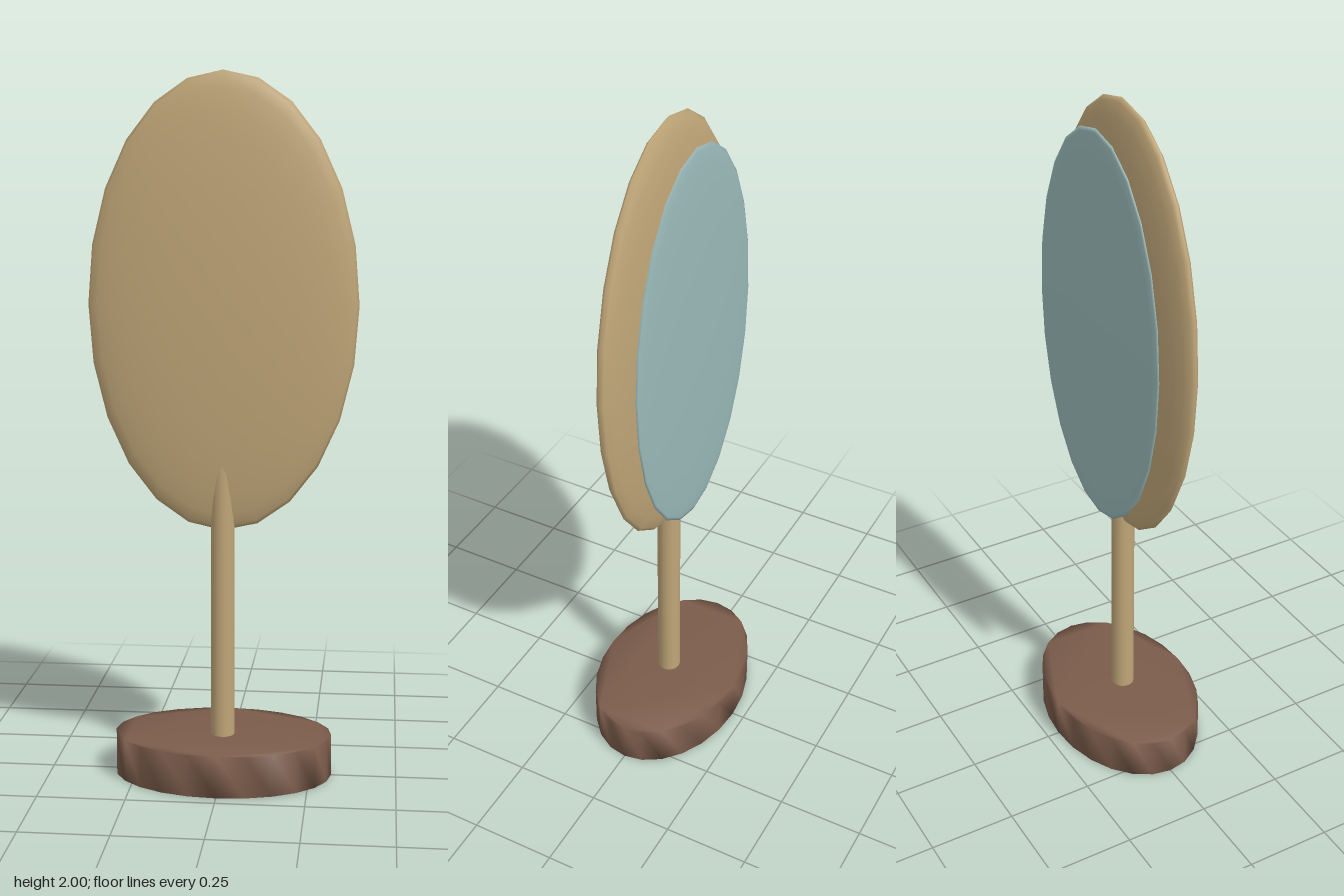
import * as THREE from 'three';
import { mergeVertices } from 'three/addons/utils/BufferGeometryUtils.js';

const material = (name, color) => {
  const m = new THREE.MeshStandardMaterial({ color });
  m.name = name;
  return m;
};

export function createModel() {
  const model = new THREE.Group();
  model.name = 'standMirror';
  const brass = material('brass', 0xc0a678);
  const wood = material('dark wood', 0x7b5c4b);
  const glass = material('mirror glass', 0x9bbaba);

  const add = (name, geometry, mat, y, z) => {
    const mesh = new THREE.Mesh(geometry, mat);
    mesh.name = name;
    mesh.position.set(0, y, z);
    model.add(mesh);
    return mesh;
  };

  // Flattened ellipsoid with its poles facing front and back
  const disc = (rx, ry, rz) =>
    new THREE.SphereGeometry(1, 24, 16).rotateX(Math.PI / 2).scale(rx, ry, rz);

  // Oval foot, shaded smoothly over its rims
  const oval = new THREE.Shape();
  for (let i = 0; i < 24; i++) {
    const a = (i / 24) * Math.PI * 2;
    const x = 0.313 * Math.cos(a), y = 0.214 * Math.sin(a);
    if (i) oval.lineTo(x, y); else oval.moveTo(x, y);
  }
  oval.closePath();
  let foot = new THREE.ExtrudeGeometry(oval, { depth: 0.12, bevelEnabled: false }).rotateX(-Math.PI / 2);
  foot.deleteAttribute('normal');
  foot.deleteAttribute('uv');
  foot.clearGroups();
  foot = mergeVertices(foot, 1e-4);
  foot.computeVertexNormals();
  add('base', foot, wood, 0, 0);

  // Post running up into the backing disc
  add('stem', new THREE.CylinderGeometry(0.034, 0.034, 0.85, 16), brass, 0.525, 0.013);

  // Backing disc and the glass behind it
  add('frame', disc(0.379, 0.64, 0.052), brass, 1.36, 0.01);
  add('mirror', disc(0.325, 0.577, 0.016), glass, 1.355, -0.067);

  return model;
}
